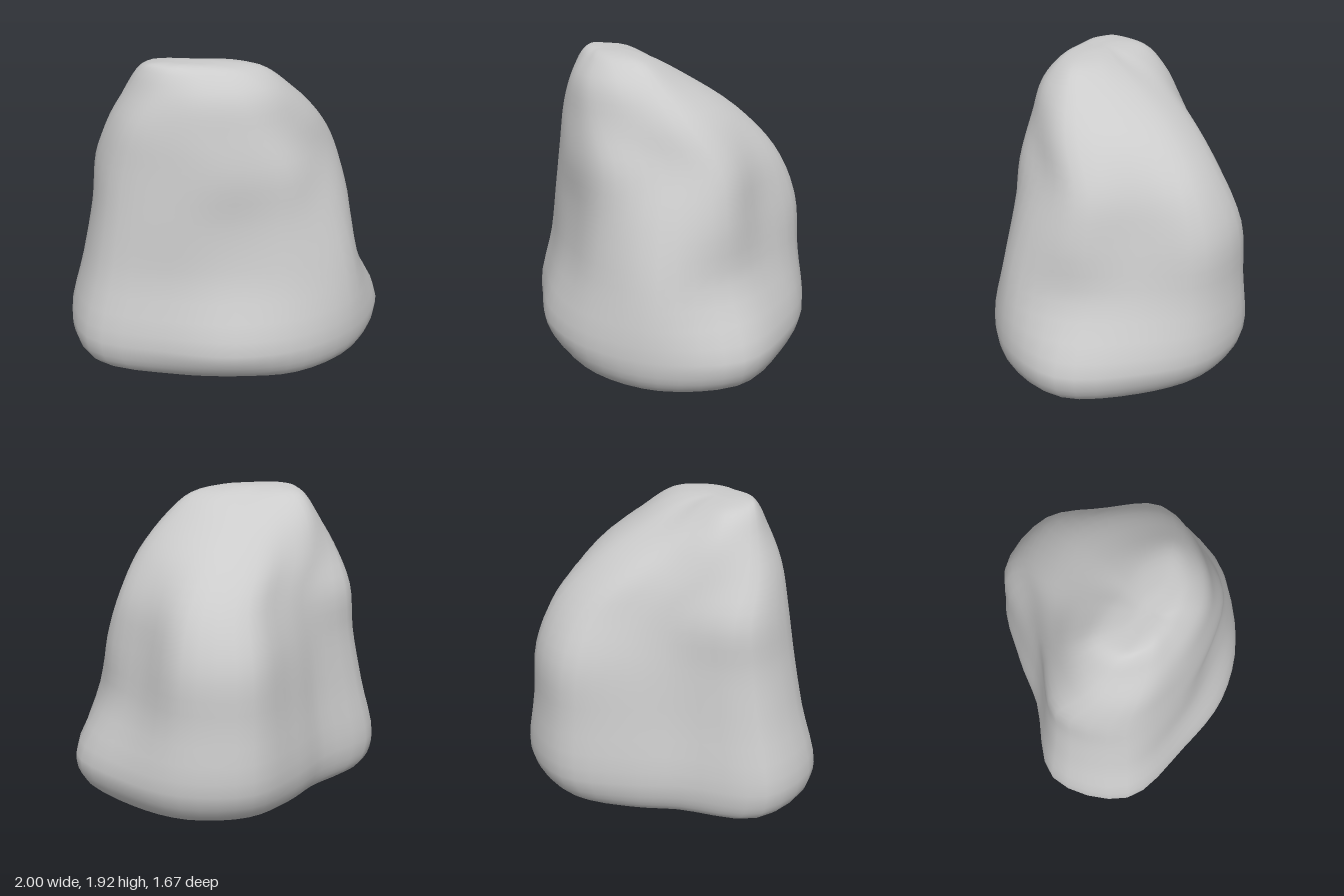
import * as THREE from 'three';
import { mergeVertices } from 'three/addons/utils/BufferGeometryUtils.js';

// Horizontal sections: height, centre x, centre z, then radii every 30 degrees from +x towards +z
const SECTIONS = [
  [0.01, 0, 0, [0.80, 0.80, 0.71, 0.61, 0.67, 0.83, 0.78, 0.53, 0.52, 0.59, 0.66, 0.72]],
  [0.08, 0, 0, [0.95, 0.90, 0.82, 0.75, 0.78, 0.98, 0.93, 0.61, 0.61, 0.73, 0.79, 0.82]],
  [0.25, 0, 0, [1.00, 0.94, 0.87, 0.83, 0.84, 1.03, 0.98, 0.65, 0.66, 0.82, 0.87, 0.88]],
  [0.65, 0, 0, [0.81, 0.88, 0.78, 0.70, 0.75, 0.93, 0.89, 0.60, 0.62, 0.80, 0.83, 0.75]],
  [1.00, 0, 0, [0.77, 0.77, 0.71, 0.65, 0.72, 0.86, 0.82, 0.56, 0.57, 0.77, 0.80, 0.68]],
  [1.30, 0, 0, [0.69, 0.64, 0.67, 0.65, 0.69, 0.81, 0.79, 0.52, 0.49, 0.62, 0.67, 0.61]],
  [1.55, -0.10, 0.13, [0.65, 0.56, 0.52, 0.48, 0.50, 0.59, 0.61, 0.49, 0.44, 0.51, 0.59, 0.61]],
  [1.75, -0.13, 0.22, [0.49, 0.44, 0.38, 0.34, 0.35, 0.41, 0.47, 0.45, 0.36, 0.33, 0.37, 0.42]],
  [1.87, -0.15, 0.27, [0.35, 0.29, 0.23, 0.20, 0.22, 0.29, 0.37, 0.36, 0.22, 0.16, 0.19, 0.26]],
  [1.91, -0.20, 0.31, [0.19, 0.15, 0.11, 0.09, 0.11, 0.17, 0.25, 0.18, 0.10, 0.08, 0.09, 0.13]],
];
const COLUMNS = 48;
const ROWS = 44;

// Smooth closed loop through one section
function sectionLoop([y, cx, cz, radii]) {
  const points = radii.map((r, i) => {
    const a = (i / radii.length) * Math.PI * 2;
    return new THREE.Vector3(cx + r * Math.cos(a), y, cz + r * Math.sin(a));
  });
  return new THREE.CatmullRomCurve3(points, true);
}

function boulderGeometry() {
  const loops = SECTIONS.map(sectionLoop);
  const bottom = new THREE.Vector3(0, 0.015, 0);
  const top = new THREE.Vector3(-0.20, 1.915, 0.31);
  const positions = [];
  const index = [];

  // Each column is a smooth curve from the underside to the summit
  for (let j = 0; j < COLUMNS; j++) {
    const column = new THREE.CatmullRomCurve3(
      [bottom, ...loops.map((loop) => loop.getPoint(j / COLUMNS)), top]);
    for (let i = 0; i <= ROWS; i++) {
      const p = column.getPoint(i / ROWS);
      positions.push(p.x, Math.max(0, p.y), p.z);
    }
  }

  // Skin between neighbouring columns, single triangles at both ends
  for (let j = 0; j < COLUMNS; j++) {
    for (let i = 0; i < ROWS; i++) {
      const a = j * (ROWS + 1) + i;
      const b = ((j + 1) % COLUMNS) * (ROWS + 1) + i;
      if (i > 0) index.push(a, a + 1, b);
      if (i < ROWS - 1) index.push(b, a + 1, b + 1);
    }
  }

  let geometry = new THREE.BufferGeometry();
  geometry.setAttribute('position', new THREE.Float32BufferAttribute(positions, 3));
  geometry.setIndex(index);
  geometry = mergeVertices(geometry, 1e-4);
  geometry.computeVertexNormals();
  return geometry;
}

export function createModel() {
  const model = new THREE.Group();
  model.name = 'rock';
  const boulder = new THREE.Mesh(
    boulderGeometry(), new THREE.MeshStandardMaterial({ color: 0xcccccc }));
  boulder.name = 'boulder';
  model.add(boulder);
  return model;
}
